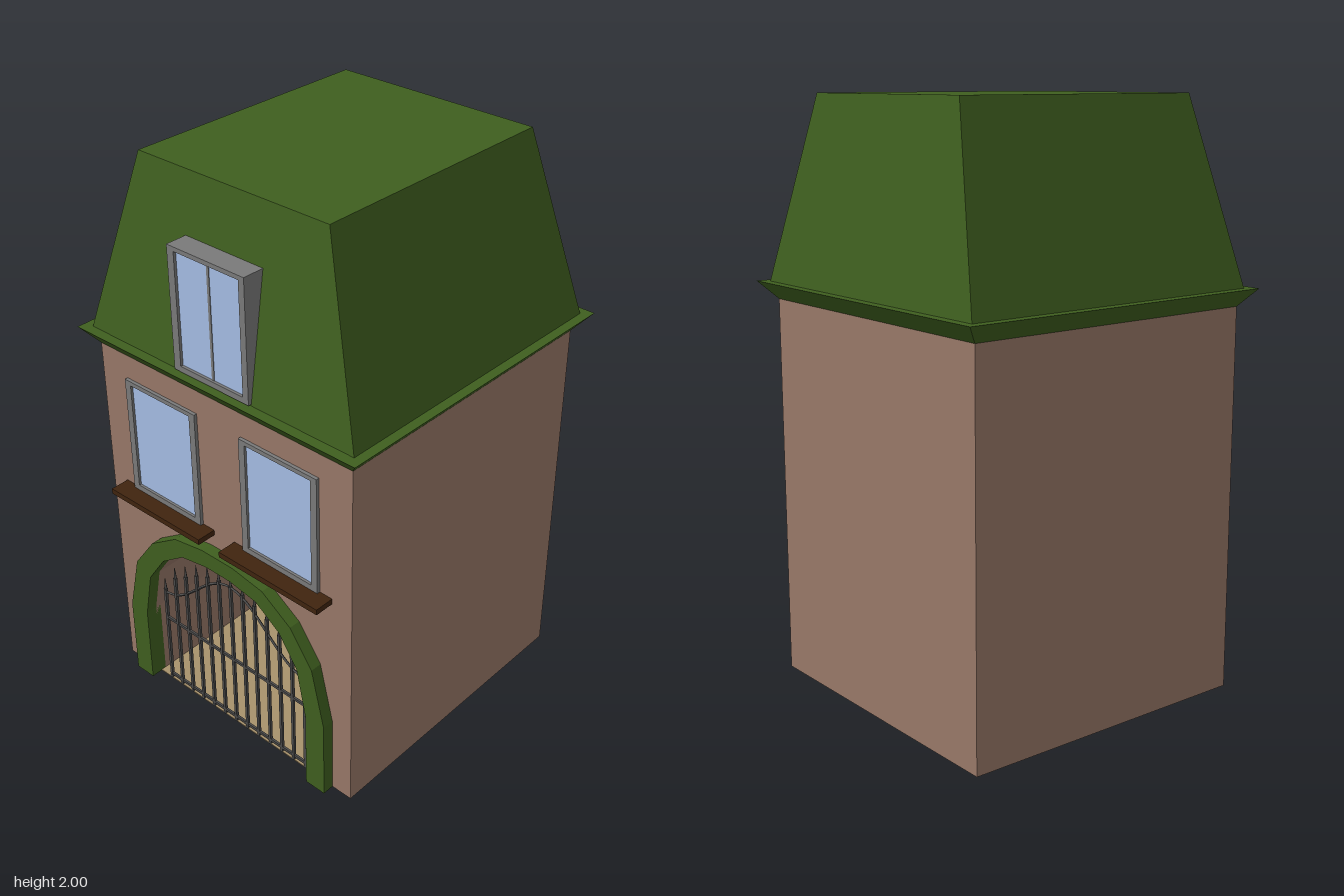
import * as THREE from 'three';

const mat = (color) => new THREE.MeshStandardMaterial({ color, flatShading: true, side: THREE.DoubleSide });
const M = {
  wall: mat(0x987868), roof: mat(0x3f5f1f), frame: mat(0x7a7a7a), glass: mat(0xa5bde4),
  sill: mat(0x40240f), iron: mat(0x4a4a4a), floor: mat(0xa8926c),
};
const FRONT = 0.53, BACK = -0.545, HALF = 0.54, EAVES = 1.32;

// Right half of an arch outline, mirrored into a full closed contour
const archPoints = (half) => [...half, ...half.slice().reverse().map(([x, y]) => [-x, y])]
  .map(([x, y]) => new THREE.Vector2(x, y));
const innerArch = archPoints([[0.38, 0], [0.38, 0.3], [0.345, 0.48], [0.27, 0.59], [0.17, 0.66], [0.055, 0.68]]);
const outerArch = archPoints([[0.46, 0], [0.46, 0.3], [0.41, 0.515], [0.32, 0.64], [0.2, 0.72], [0.07, 0.742]]);

const rect = (x0, y0, x1, y1) => [[x0, y0], [x1, y0], [x1, y1], [x0, y1]].map(([x, y]) => new THREE.Vector2(x, y));

function add(parent, name, geometry, material, x = 0, y = 0, z = 0) {
  const mesh = new THREE.Mesh(geometry, material);
  mesh.name = name;
  mesh.position.set(x, y, z);
  parent.add(mesh);
  return mesh;
}

function box(parent, name, material, x0, x1, y0, y1, z0, z1) {
  return add(parent, name, new THREE.BoxGeometry(x1 - x0, y1 - y0, z1 - z0), material,
    (x0 + x1) / 2, (y0 + y1) / 2, (z0 + z1) / 2);
}

function slab(parent, name, material, outline, hole, z0, z1) {
  const shape = new THREE.Shape(outline);
  if (hole) shape.holes.push(new THREE.Path(hole));
  return add(parent, name, new THREE.ExtrudeGeometry(shape, { depth: z1 - z0, bevelEnabled: false }), material, 0, 0, z0);
}

// Stacked rectangular rings [halfWidth, y, zBack, zFront], closed on top
function roofGeometry(rings) {
  const positions = [], index = [];
  rings.forEach(([w, y, zb, zf]) => positions.push(-w, y, zf, w, y, zf, w, y, zb, -w, y, zb));
  for (let r = 0; r < rings.length - 1; r++) {
    for (let i = 0; i < 4; i++) {
      const a = r * 4 + i, b = r * 4 + (i + 1) % 4;
      index.push(a, b, b + 4, a, b + 4, a + 4);
    }
  }
  const t = (rings.length - 1) * 4;
  index.push(t, t + 1, t + 2, t, t + 2, t + 3);
  const g = new THREE.BufferGeometry();
  g.setAttribute('position', new THREE.Float32BufferAttribute(positions, 3));
  g.setIndex(index);
  const flat = g.toNonIndexed();
  flat.computeVertexNormals();
  return flat;
}

function buildWindow(cx) {
  const g = new THREE.Group();
  g.name = 'window';
  slab(g, 'windowFrame', M.frame, rect(cx - 0.16, 0.81, cx + 0.16, 1.235), rect(cx - 0.135, 0.83, cx + 0.135, 1.22), FRONT - 0.01, 0.542);
  box(g, 'windowGlass', M.glass, cx - 0.136, cx + 0.136, 0.829, 1.221, FRONT - 0.005, FRONT + 0.003);
  box(g, 'windowSill', M.sill, cx - 0.21, cx + 0.21, 0.79, 0.81, FRONT - 0.01, 0.6);
  return g;
}

function buildDormer() {
  const g = new THREE.Group();
  g.name = 'dormer';
  slab(g, 'dormerFrame', M.frame, rect(-0.16, 1.385, 0.155, 1.805), rect(-0.132, 1.405, 0.132, 1.79), 0.475, 0.555);
  for (const s of [-1, 1]) {
    box(g, 'dormerPane', M.glass, Math.min(s * 0.004, s * 0.133), Math.max(s * 0.004, s * 0.133), 1.404, 1.791, 0.49, 0.545);
  }
  box(g, 'dormerMullion', M.frame, -0.005, 0.005, 1.404, 1.791, 0.49, 0.547);
  return g;
}

function buildGate() {
  const g = new THREE.Group();
  g.name = 'gate';
  const z = 0.525, cx = 0.005, heights = [0.655, 0.65, 0.635, 0.61, 0.575, 0.54, 0.465];
  // Upright bars with pointed tips
  for (let i = -6; i <= 6; i++) {
    const h = heights[Math.abs(i)], x = cx + i * 0.055;
    box(g, 'gateBar', M.iron, x - 0.005, x + 0.005, 0, h - 0.05, z - 0.005, z + 0.005);
    add(g, 'gateBarTip', new THREE.ConeGeometry(0.007, 0.05, 4), M.iron, x, h - 0.025, z);
  }
  for (const y of [0.02, 0.285]) {
    box(g, 'gateRail', M.iron, cx - 0.33, cx + 0.33, y - 0.005, y + 0.005, z - 0.004, z + 0.004);
  }
  // Wavy upper rail
  const wave = [];
  for (let i = -8; i <= 8; i++) {
    wave.push(new THREE.Vector3(cx + i * 0.33 / 8, 0.5 + 0.1 * Math.cos(Math.PI * i / 8), z));
  }
  add(g, 'gateCurvedRail', new THREE.TubeGeometry(new THREE.CatmullRomCurve3(wave), 32, 0.005, 4), M.iron);
  return g;
}

export function createModel() {
  const house = new THREE.Group();
  house.name = 'house';

  // Walls with an arched passage cut through from the front, closed at the back
  const front = [[-HALF, 0], [-0.38, 0], ...innerArch.slice(1, -1).reverse().map((p) => [p.x, p.y]),
    [0.38, 0], [HALF, 0], [HALF, EAVES], [-HALF, EAVES]].map(([x, y]) => new THREE.Vector2(x, y));
  slab(house, 'walls', M.wall, front, null, BACK + 0.02, FRONT);
  box(house, 'backWall', M.wall, -HALF, HALF, 0, EAVES, BACK, BACK + 0.02);
  box(house, 'floor', M.floor, -HALF + 0.001, HALF - 0.001, -0.001, 0.003, BACK + 0.001, FRONT - 0.001);

  // Arch surround as one band
  const band = [...outerArch, ...innerArch.slice().reverse()];
  slab(house, 'archSurround', M.roof, band, null, FRONT - 0.02, 0.572);

  // Flared eaves and mansard roof
  add(house, 'roof', roofGeometry([
    [HALF, EAVES, BACK, FRONT], [0.59, 1.38, -0.6, 0.58], [0.556, 1.38, -0.567, 0.544], [0.38, 2, -0.473, 0.448],
  ]), M.roof);

  house.add(buildGate(), buildWindow(-0.262), buildWindow(0.25), buildDormer());
  return house;
}
